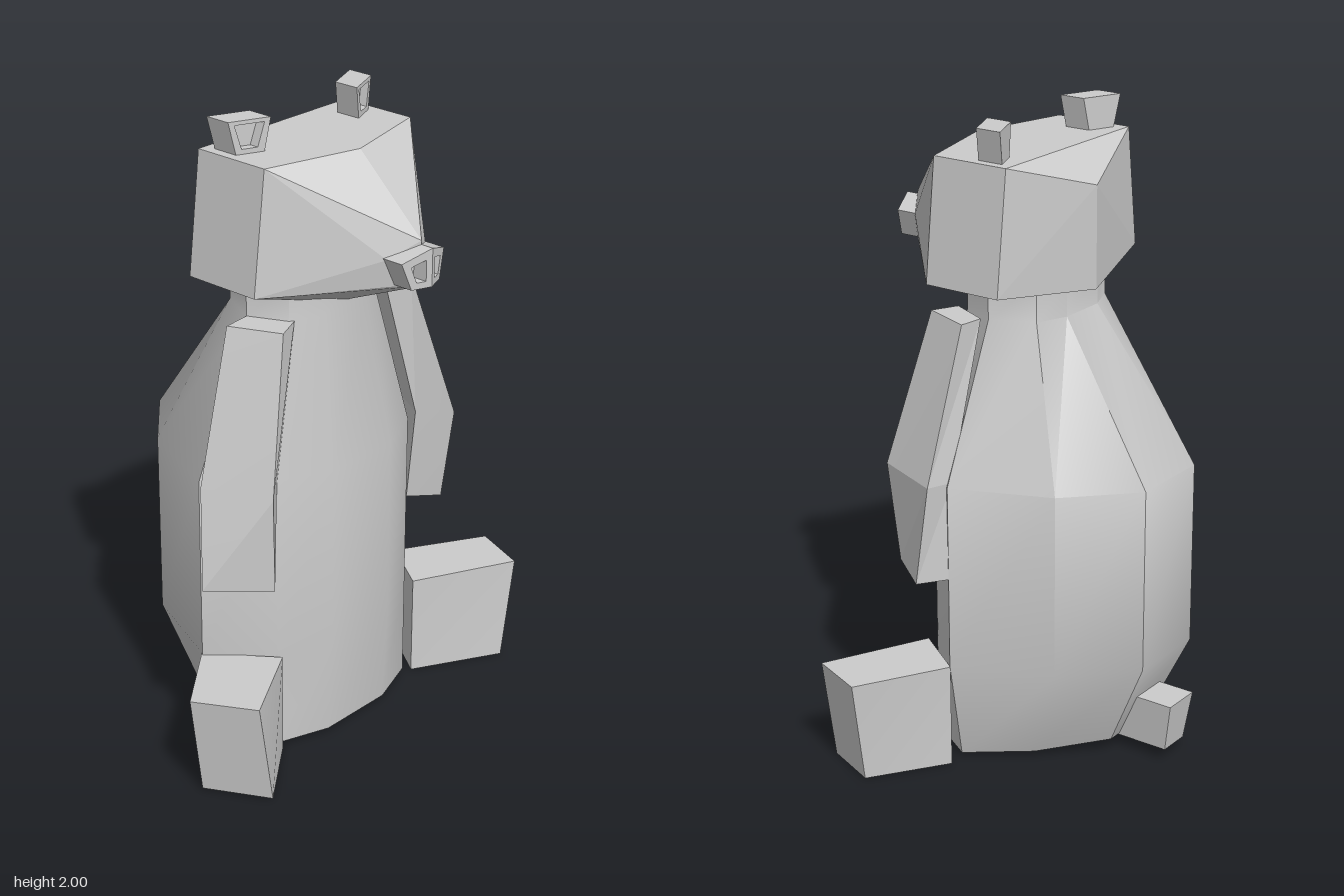
import * as THREE from 'three';
import { toCreasedNormals, mergeGeometries } from 'three/addons/utils/BufferGeometryUtils.js';
import { ConvexGeometry } from 'three/addons/geometries/ConvexGeometry.js';

const grey = new THREE.MeshStandardMaterial({ color: 0xcccccc });

function add(parent, name, geometry) {
  const mesh = new THREE.Mesh(geometry, grey);
  mesh.name = name;
  parent.add(mesh);
  return mesh;
}

// Closed skin through rings of [x, y, z], listed from bottom to top
function loft(rings, crease) {
  const n = rings[0].length, pos = [], idx = [];
  let area = 0;
  rings[0].forEach((p, i) => {
    const q = rings[0][(i + 1) % n];
    area += p[2] * q[0] - p[0] * q[2];
  });
  rings.forEach(r => (area > 0 ? r : [...r].reverse()).forEach(p => pos.push(...p)));
  for (let k = 0; k < rings.length - 1; k++) {
    for (let i = 0; i < n; i++) {
      const a = k * n + i, b = k * n + (i + 1) % n;
      idx.push(a, b, b + n, a, b + n, a + n);
    }
  }
  const top = (rings.length - 1) * n;
  for (let i = 1; i < n - 1; i++) idx.push(0, i + 1, i, top, top + i, top + i + 1);
  const g = new THREE.BufferGeometry();
  g.setAttribute('position', new THREE.Float32BufferAttribute(pos, 3));
  g.setIndex(idx);
  return toCreasedNormals(g, crease);
}

const level = (y, pts) => pts.map(([x, z]) => [x, y, z]);

// Body ring: half outline [x, z, optional lift] from front to back, mirrored
function bodyRing(y, half) {
  const left = half.map(([x, z, lift = 0]) => [x, y + lift, z]);
  const right = [...left].reverse().map(([x, h, z]) => [-x, h, z]);
  return [...left, ...right];
}

// Extruded outline with a hole, slanted in z along x, optionally mirrored
function slantedFrame(outline, hole, depth, z, slope, mirror) {
  const toV = pts => pts.map(p => new THREE.Vector2(...p));
  const shape = new THREE.Shape(toV(outline));
  if (hole) shape.holes.push(new THREE.Path(toV(hole)));
  const g = new THREE.ExtrudeGeometry(shape, { depth, bevelEnabled: false }).toNonIndexed?.() ?? null;
  const p = g.attributes.position;
  for (let i = 0; i < p.count; i++) p.setZ(i, p.getZ(i) + z - slope * p.getX(i));
  if (mirror) {
    for (let i = 0; i < p.count; i++) p.setX(i, -p.getX(i));
    for (let i = 0; i < p.count; i += 3) {
      const b = [p.getX(i + 1), p.getY(i + 1), p.getZ(i + 1)];
      p.setXYZ(i + 1, p.getX(i + 2), p.getY(i + 2), p.getZ(i + 2));
      p.setXYZ(i + 2, ...b);
    }
  }
  g.computeVertexNormals();
  return g;
}

export function createModel() {
  const model = new THREE.Group();
  model.name = 'sittingBear';

  // Body with neck
  const belly = [[0.13, 0.275], [0.3, 0.2], [0.455, 0.03], [0.33, -0.275], [0.135, -0.467]];
  const collar = [[0.09, 0.2], [0.19, 0.15], [0.245, 0.03], [0.18, -0.1], [0.08, -0.14]];
  const body = add(model, 'body', loft([
    bodyRing(0.015, [[0.13, 0.26], [0.3, 0.2], [0.4, 0.03], [0.26, -0.15], [0.1, -0.33, 0.03]]),
    bodyRing(0.34, belly),
    bodyRing(0.93, belly),
    bodyRing(1.4, collar),
    bodyRing(1.52, collar),
  ], 0.62));
  body.position.x = -0.032;

  // Arms: outer back, outer front, inner front, inner back
  add(model, 'leftArm', loft([
    level(0.63, [[0.505, 0.09], [0.387, 0.245], [0.305, 0.17], [0.42, 0.03]]),
    level(0.94, [[0.48, 0.06], [0.387, 0.29], [0.305, 0.2], [0.4, 0.03]]),
    level(1.415, [[0.33, 0.04], [0.27, 0.2], [0.19, 0.16], [0.25, 0.03]]),
  ], 0.15));
  add(model, 'rightArm', loft([
    level(0.63, [[-0.57, 0.12], [-0.425, 0.28], [-0.33, 0.18], [-0.49, 0.05]]),
    level(0.93, [[-0.51, 0.06], [-0.425, 0.275], [-0.33, 0.2], [-0.43, 0.03]]),
    level(1.4, [[-0.37, 0.04], [-0.3, 0.2], [-0.21, 0.16], [-0.27, 0.03]]),
  ], 0.15));

  // Legs
  add(model, 'leftLeg', loft([
    level(0, [[0.42, 0.03], [0.65, 0.19], [0.58, 0.365], [0.3, 0.21]]),
    level(0.335, [[0.42, 0.03], [0.7, 0.19], [0.63, 0.37], [0.3, 0.21]]),
  ], 0.15));
  add(model, 'rightLeg', loft([
    level(0.005, [[-0.48, 0.02], [-0.655, 0.19], [-0.55, 0.385], [-0.33, 0.22]]),
    level(0.335, [[-0.48, 0.02], [-0.7, 0.19], [-0.595, 0.375], [-0.33, 0.22]]),
  ], 0.15));

  // Tail
  add(model, 'tail', loft([
    level(0.04, [[-0.085, -0.5], [0.02, -0.5], [0.02, -0.3], [-0.085, -0.3]]),
    level(0.2, [[-0.097, -0.525], [0.032, -0.525], [0.032, -0.4], [-0.097, -0.4]]),
  ], 0.15));

  // Head: faceted hull tapering into the muzzle
  const head = new THREE.Group();
  head.name = 'head';
  head.position.x = -0.018;
  model.add(head);
  const sides = [
    [0.315, 1.9, 0.16], [0.315, 1.9, -0.1], [0.36, 1.52, 0.16], [0.36, 1.52, -0.1],
    [0.085, 1.63, 0.42], [0.06, 1.545, 0.43],
  ];
  const middle = [
    [0, 1.9, 0.24], [0, 1.8, -0.2], [0, 1.48, -0.2], [0, 1.41, 0.17],
    [0, 1.68, 0.475], [0, 1.54, 0.475],
  ];
  const hull = [...middle, ...sides, ...sides.map(([x, y, z]) => [-x, y, z])];
  add(head, 'skull', new ConvexGeometry(hull.map(p => new THREE.Vector3(...p))));

  // Nose halves with nostril openings, and hollow-fronted ears
  const noseHalf = [[0, 1.55], [0.062, 1.55], [0.093, 1.635], [0, 1.668]];
  const nostril = [[0.018, 1.57], [0.047, 1.57], [0.064, 1.62], [0.018, 1.635]];
  const ear = [[0.206, 1.88], [0.28, 1.88], [0.306, 2], [0.184, 2]];
  const earHole = [[0.222, 1.915], [0.268, 1.915], [0.288, 1.988], [0.202, 1.988]];
  for (const [side, mirror] of [['left', false], ['right', true]]) {
    add(head, side + 'Nose', slantedFrame(noseHalf, nostril, 0.09, 0.427, 0.38, mirror));
    add(head, side + 'Ear', mergeGeometries([
      slantedFrame(ear, null, 0.055, 0.055, 0.42, mirror),
      slantedFrame(ear, earHole, 0.03, 0.11, 0.42, mirror),
    ]));
  }
  return model;
}
